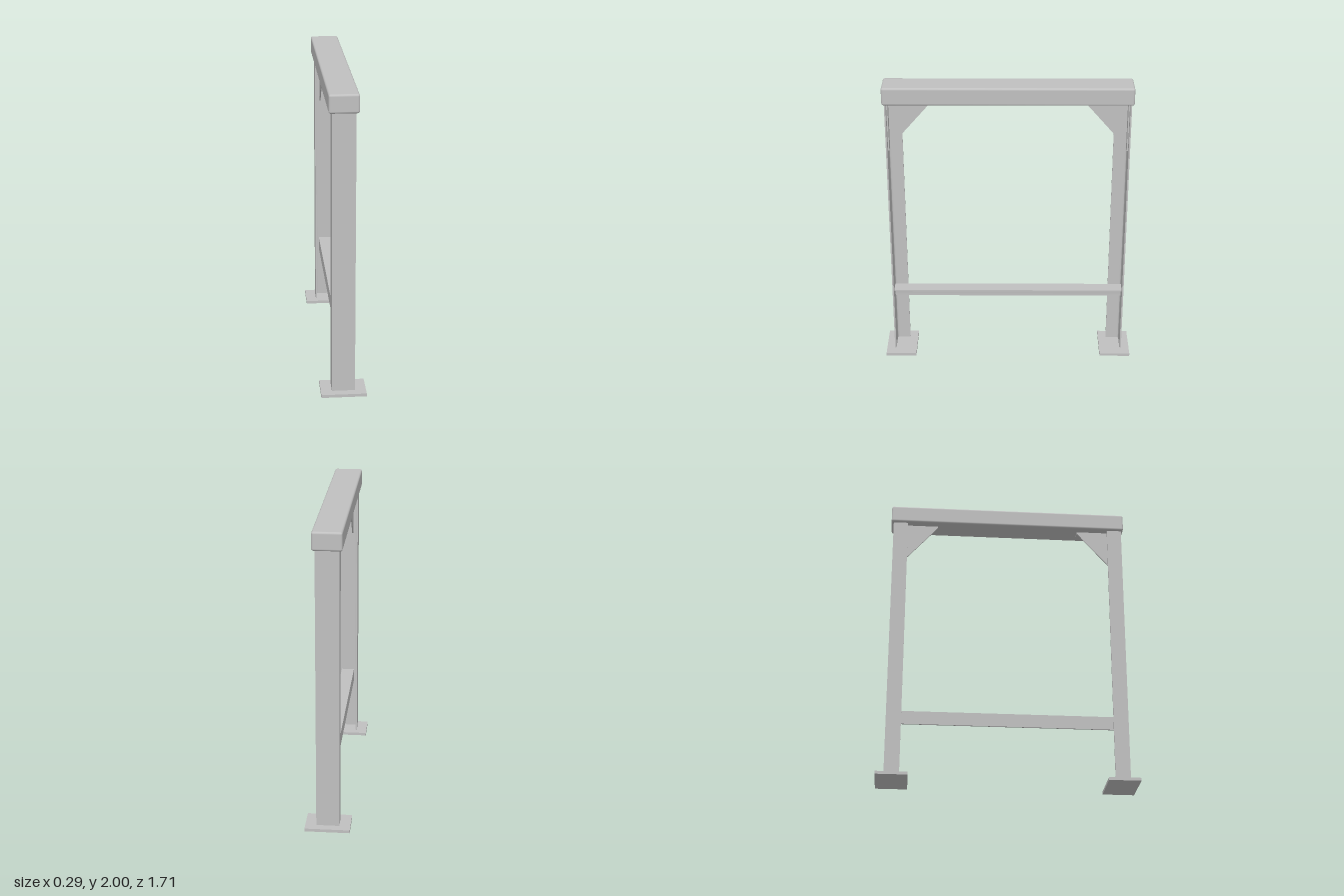
import * as THREE from 'three';
import { toCreasedNormals } from 'three/addons/utils/BufferGeometryUtils.js';
import { RoundedBoxGeometry } from 'three/addons/geometries/RoundedBoxGeometry.js';

const steel = new THREE.MeshStandardMaterial({ color: 0xc0c0c0 });
steel.name = 'greySteel';

function add(parent, name, geometry, x = 0, y = 0, z = 0) {
  const mesh = new THREE.Mesh(geometry, steel);
  mesh.name = name;
  mesh.position.set(x, y, z);
  parent.add(mesh);
}

// L-section bar with a filleted inner corner; legs a (along x) and b (along y, direction sy)
function angleBar(x, y, sy, a, b, t, r, length) {
  const s = new THREE.Shape();
  s.moveTo(x, y);
  s.lineTo(x + a, y);
  s.lineTo(x + a, y + sy * t);
  s.lineTo(x + t + r, y + sy * t);
  s.quadraticCurveTo(x + t, y + sy * t, x + t, y + sy * (t + r));
  s.lineTo(x + t, y + sy * b);
  s.lineTo(x, y + sy * b);
  s.closePath();
  const g = new THREE.ExtrudeGeometry(s, { depth: length, bevelEnabled: false, curveSegments: 6 });
  return toCreasedNormals(g, 0.6);
}

// Triangular web of the corner bracket, thin in x
function gussetPlate(side, x0, t) {
  const s = new THREE.Shape();
  s.moveTo(side * 0.79, 1.88);
  s.lineTo(side * 0.49, 1.88);
  s.lineTo(side * 0.49, 1.87);
  s.lineTo(side * 0.782, 1.535);
  s.lineTo(side * 0.79, 1.535);
  s.closePath();
  const g = new THREE.ExtrudeGeometry(s, { depth: t, bevelEnabled: false });
  g.rotateY(-Math.PI / 2);
  g.translate(x0 + t, 0, 0);
  return g;
}

export function createModel() {
  const model = new THREE.Group();
  model.name = 'steelFrame';

  // Top beam with softened edges
  add(model, 'topBeam', new RoundedBoxGeometry(0.19, 0.12, 1.63, 3, 0.014), 0, 1.94, 0);

  // Lower rail: flat leg on top, upright leg on the -x side
  add(model, 'lowerRail', angleBar(-0.045, 0.475, -1, 0.09, 0.09, 0.01, 0.012, 1.58), 0, 0, -0.79);

  for (const side of [1, -1]) {
    const end = new THREE.Group();
    end.name = side > 0 ? 'frontSupport' : 'backSupport';

    // Base plate
    add(end, 'basePlate', new THREE.BoxGeometry(0.294, 0.02, 0.21), 0, 0.01, side * 0.75);

    // Upright post, wide leg facing outwards
    const post = angleBar(-0.075, -side * 0.8, side, 0.15, 0.1, 0.01, 0.012, 1.885);
    post.rotateX(-Math.PI / 2);
    add(end, 'post', post);

    // Corner bracket: web plus two mounting strips
    const bracket = new THREE.Group();
    bracket.name = 'cornerBracket';
    add(bracket, 'gusset', gussetPlate(side, -0.037, 0.008));
    add(bracket, 'postStrip', new THREE.BoxGeometry(0.065, 0.345, 0.008), -0.0045, 1.7075, side * 0.786);
    add(bracket, 'beamStrip', new THREE.BoxGeometry(0.065, 0.01, 0.3), -0.0045, 1.875, side * 0.64);
    end.add(bracket);

    model.add(end);
  }
  return model;
}
